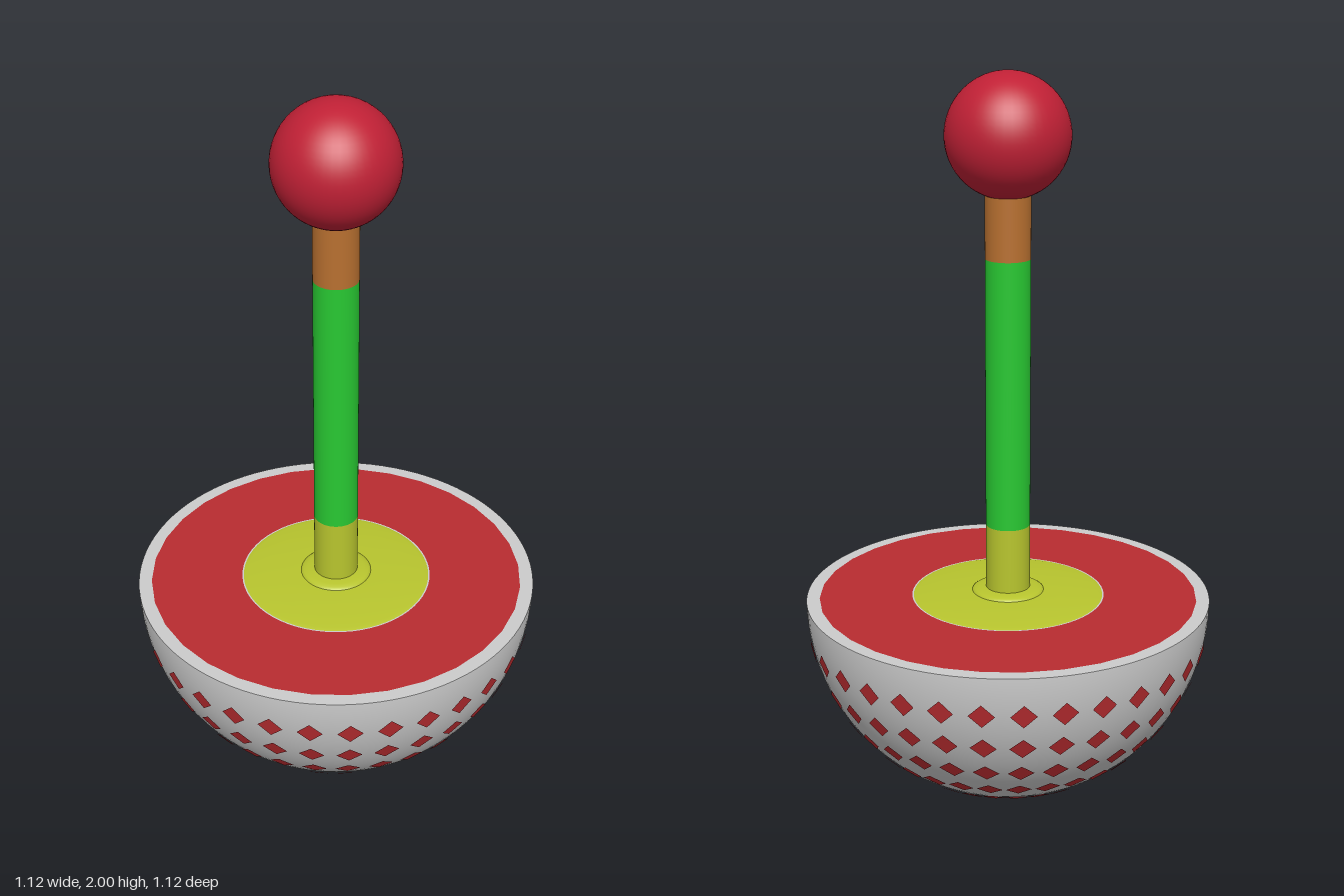
import * as THREE from 'three';
import { mergeGeometries } from 'three/addons/utils/BufferGeometryUtils.js';

const paint = (color) => new THREE.MeshStandardMaterial({ color });
const GREY = paint(0xcccccc);
const RED = paint(0xb82c30);
const BALL_RED = paint(0xc02035);
const YELLOW = paint(0xb8c52e);
const GREEN = paint(0x28c832);
const BROWN = paint(0xb87030);

const R = 0.558;      // bowl radius
const RIM = 0.563;    // height of the bowl's flat top

export function createModel() {
  const model = new THREE.Group();
  const add = (name, geometry, material, y = 0) => {
    const mesh = new THREE.Mesh(geometry, material);
    mesh.name = name;
    mesh.position.y = y;
    model.add(mesh);
    return mesh;
  };

  // Half-ball base with its flat lid
  add('bowl', new THREE.SphereGeometry(R, 96, 32, 0, Math.PI * 2, Math.PI / 2, Math.PI / 2), GREY, RIM);
  const disc = (r, sides) => new THREE.CircleGeometry(r, sides).rotateX(-Math.PI / 2);
  add('bowlLid', disc(R, 96), GREY, RIM);
  add('redTop', disc(0.522, 32), RED, RIM + 0.001);
  add('paleRing', disc(0.266, 64), GREY, RIM + 0.002);

  // Diamond spots in rows around the bowl, closing up into bands near the bottom
  const spots = [];
  const outward = new THREE.Vector3(0, 0, 1);
  const step = Math.PI / 16;
  for (let row = 1; row <= 7; row++) {
    for (let i = 0; i < 32; i++) {
      spots.push(new THREE.CircleGeometry(0.035, 4)
        .translate(0, 0, R + 0.003)
        .rotateX(row * step)
        .rotateY(i * step));
    }
  }
  // Round spot at the very bottom
  spots.push(new THREE.CircleGeometry(0.035, 32).translate(0, 0, R + 0.004).rotateX(Math.PI / 2));
  add('diamondSpots', mergeGeometries(spots), RED, RIM);

  // Shallow domed plate
  const dome = [[0.262, 0], [0.25, 0.003], [0.2, 0.007], [0.15, 0.01], [0.1, 0.012], [0, 0.013]];
  add('domedPlate', new THREE.LatheGeometry(dome.map(([x, y]) => new THREE.Vector2(x, y)), 64), YELLOW, RIM + 0.002);

  // Rounded collar at the foot of the stick
  const collar = [[0.098, 0], [0.1, 0.011], [0.098, 0.016], [0.092, 0.02], [0.08, 0.023], [0.06, 0.025]];
  add('collar', new THREE.LatheGeometry(collar.map(([x, y]) => new THREE.Vector2(x, y)), 48), YELLOW, RIM);

  // Stick in three colours
  const bands = [
    ['stickBottom', 0.565, 0.77, YELLOW],
    ['stickMiddle', 0.77, 1.512, GREEN],
    ['stickTop', 1.512, 1.72, BROWN],
  ];
  for (const [name, from, to, material] of bands) {
    add(name, new THREE.CylinderGeometry(0.061, 0.061, to - from, 48), material, (from + to) / 2);
  }

  // Ball on the end of the stick
  add('ball', new THREE.SphereGeometry(0.166, 48, 32), BALL_RED, 1.834);

  return model;
}
